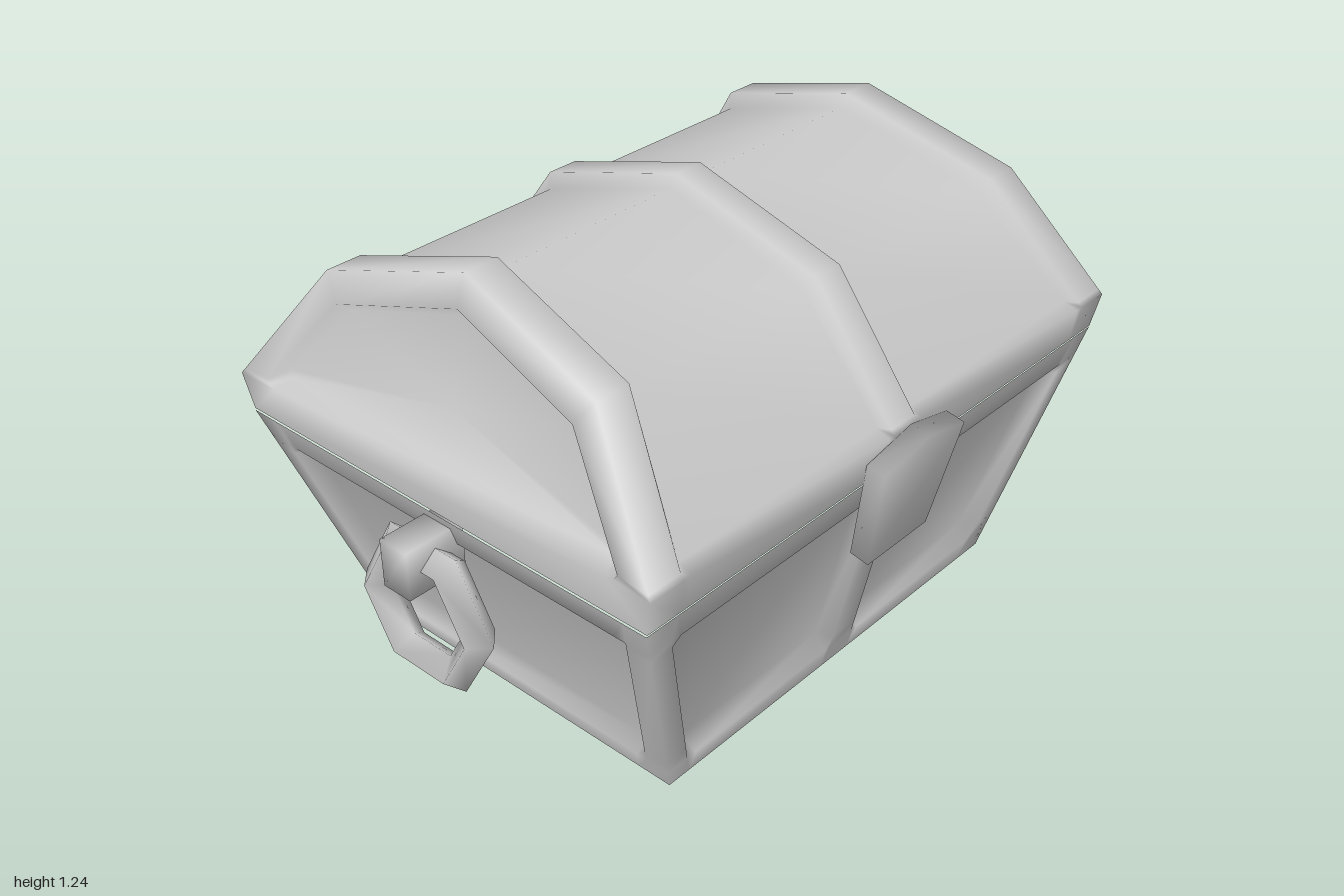
import * as THREE from 'three';
import { mergeVertices, mergeGeometries } from 'three/addons/utils/BufferGeometryUtils.js';

const material = new THREE.MeshStandardMaterial({ color: 0xcccccc });

// Skin rows of [x, y, z] points with quads
function loft(rows, closed) {
  const n = rows[0].length, index = [];
  for (let r = 0; r < rows.length - 1; r++) {
    for (let c = 0; c < (closed ? n : n - 1); c++) {
      const a = r * n + c, b = r * n + (c + 1) % n;
      index.push(a, b, b + n, a, b + n, a + n);
    }
  }
  const g = new THREE.BufferGeometry();
  g.setAttribute('position', new THREE.Float32BufferAttribute(rows.flat(2), 3));
  g.setIndex(index);
  return g;
}

// Weld the corners so the shading runs softly over the edges
function soften(g) {
  g.deleteAttribute('normal');
  g.deleteAttribute('uv');
  g = mergeVertices(g, 1e-4);
  g.computeVertexNormals();
  return g;
}

function part(name, geometry) {
  const m = new THREE.Mesh(geometry, material);
  m.name = name;
  return m;
}

// Tapered box with sunken panels between rims and posts
function bodyGeometry() {
  const levels = [[0, 0], [0.06, 0], [0.1, 1], [0.57, 1], [0.595, 0], [0.675, 0]];
  const rows = levels.map(([y, sunk]) => {
    const hx = 0.52 + 0.22 * y, hz = 0.65 + 0.335 * y, d = sunk * 0.045;
    const half = [
      [-hx, y, hz], [-hx + 0.07, y, hz], [-hx + 0.1, y, hz - d],
      [hx - 0.1, y, hz - d], [hx - 0.07, y, hz],
      [hx, y, hz], [hx, y, hz - 0.07], [hx - d, y, hz - 0.1],
      [hx - d, y, 0.065], [hx, y, 0.045], [hx, y, -0.045], [hx - d, y, -0.065],
      [hx - d, y, -hz + 0.1], [hx, y, -hz + 0.07],
    ];
    return [...half, ...half.map(([x, yy, z]) => [-x, yy, -z])];
  });
  return soften(loft(rows, true));
}

// Lid profiles from the eave up to the ridge
const mirror = (p) => [...p, ...p.slice(0, -1).reverse().map(([x, y]) => [-x, y])];
const ribProfile = mirror([[0.67, 0.68], [0.69, 0.78], [0.68, 0.793], [0.44, 1.11], [0, 1.24]]);
const sunkProfile = mirror([[0.67, 0.68], [0.69, 0.78], [0.65, 0.795], [0.42, 1.075], [0, 1.207]]);
const endInset = mirror([[0.56, 0.782], [0.585, 0.787], [0.59, 0.8], [0.39, 1.045], [0, 1.16]]);
const endPanel = mirror([[0.54, 0.8], [0.555, 0.805], [0.56, 0.815], [0.375, 1.02], [0, 1.13]]);
const endZ = (y) => (y < 0.78 ? 0.875 + 0.1 * (y - 0.68) : 0.885 - 0.335 * (y - 0.78));

function lidGeometry() {
  // Arched shell with two end ribs and a middle rib
  const half = [[(e) => e, 0], [(e) => e - 0.1, 0], [(e) => e - 0.125, 1],
    [() => 0.065, 1], [() => 0.045, 0]];
  const stations = [...half.map(([f, s]) => [(e) => -f(e), s]), ...half.slice().reverse()];
  const shell = loft(stations.map(([f, sunk]) =>
    ribProfile.map(([x, y], i) => {
      const [px, py] = sunk ? sunkProfile[i] : [x, y];
      return [px, py, f(endZ(y))];
    })), false);

  // Sloping ends with a sunken panel
  const ring = (p, depth) => p.map(([x, y]) => [x, y, endZ(y) - depth]);
  const front = loft([ring(ribProfile, 0), ring(endInset, 0), ring(endPanel, 0.045),
    ring(endPanel.map(() => [0, 0.92]), 0.045)], true);
  const back = front.clone().rotateY(Math.PI);
  return soften(mergeGeometries([shell, front, back]));
}

// Tilted five-cornered clasp
function latchGeometry() {
  const shape = new THREE.Shape([[-0.12, -0.175], [0.12, -0.175], [0.16, 0.135],
    [0, 0.178], [-0.16, 0.135]].map(([x, y]) => new THREE.Vector2(x, y)));
  const g = new THREE.ExtrudeGeometry(shape, { depth: 0.055, bevelEnabled: false });
  g.translate(0, 0, -0.0275).rotateY(Math.PI / 2).rotateZ(-0.2);
  return soften(g);
}

// Six-sided ring hanging from a block
function handle() {
  const g = new THREE.Group();
  g.name = 'handle';
  const ring = part('handleRing', new THREE.TorusGeometry(0.177, 0.048, 4, 6));
  ring.position.set(0, 0.425, 0.915);
  const mount = part('handleMount', soften(new THREE.BoxGeometry(0.09, 0.132, 0.17)));
  mount.position.set(0, 0.582, 0.915);
  g.add(ring, mount);
  return g;
}

export function createModel() {
  const group = new THREE.Group();
  group.name = 'chest';

  const bottom = part('bottom', new THREE.PlaneGeometry(1.04, 1.3).rotateX(Math.PI / 2));
  const latch = part('latch', latchGeometry());
  latch.position.set(0.685, 0.608, -0.015);

  const frontHandle = handle();
  const backHandle = handle();
  backHandle.rotation.y = Math.PI;

  const chest = new THREE.Group();
  chest.name = 'chestParts';
  chest.position.x = -0.03;
  chest.add(part('body', bodyGeometry()), bottom, part('lid', lidGeometry()),
    latch, frontHandle, backHandle);
  group.add(chest);
  return group;
}
